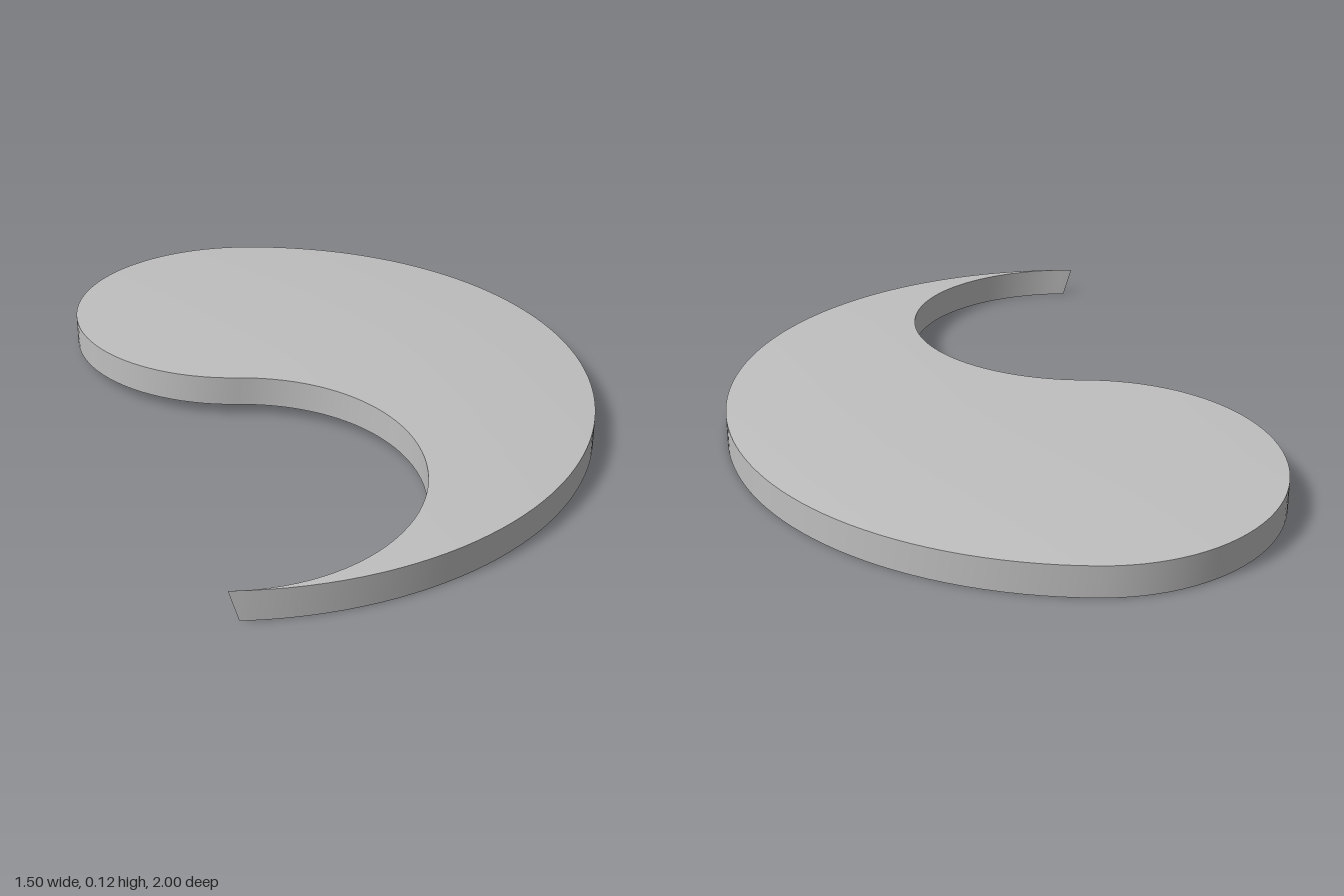
import * as THREE from 'three';
import { toCreasedNormals } from 'three/addons/utils/BufferGeometryUtils.js';

const CX = -0.25;        // centre of the large outer circle (radius 1)
const THICKNESS = 0.085;
const RISE = 0.031;      // height of the shallow dome
const HALF = 48;         // rows along each small half circle
const ROWS = HALF * 2;
const COLS = 24;

// Underside height: a shallow dome falling to 0 at the outer rim
const dome = (x, z) => RISE * (1 - Math.min(1, Math.hypot(x - CX, z)) ** 2.5);

function commaPlateGeometry() {
  const positions = [];
  const index = [];
  const count = (ROWS + 1) * (COLS + 1);

  // Rows run from the round head (z = -1) to the pointed tail (z = 1)
  for (const lift of [THICKNESS, 0]) {
    for (let i = 0; i <= ROWS; i++) {
      const head = i <= HALF;
      const a = Math.PI * (head ? i / HALF : (i - HALF) / HALF);
      const z = (head ? -0.5 : 0.5) - 0.5 * Math.cos(a);
      const inner = CX + (head ? -0.5 : 0.5) * Math.sin(a);
      const outer = CX + Math.sqrt(Math.max(0, 1 - z * z));
      for (let j = 0; j <= COLS; j++) {
        const x = inner + (outer - inner) * (j / COLS);
        // The tail end is cut at a slight slant
        const slant = i === ROWS && lift === 0 ? 0.025 : 0;
        positions.push(x + slant, dome(x, z) + lift, z);
      }
    }
  }

  const top = (i, j) => i * (COLS + 1) + j;
  const bottom = (i, j) => count + top(i, j);
  const quad = (a, b, c, d) => index.push(a, b, c, a, c, d);
  for (let i = 0; i < ROWS; i++) {
    for (let j = 0; j < COLS; j++) {
      quad(top(i, j), top(i + 1, j), top(i + 1, j + 1), top(i, j + 1));
      quad(bottom(i, j), bottom(i, j + 1), bottom(i + 1, j + 1), bottom(i + 1, j));
    }
    // Inner S-shaped wall and outer rim wall
    quad(bottom(i, 0), bottom(i + 1, 0), top(i + 1, 0), top(i, 0));
    quad(bottom(i + 1, COLS), bottom(i, COLS), top(i, COLS), top(i + 1, COLS));
  }

  const geometry = new THREE.BufferGeometry();
  geometry.setAttribute('position', new THREE.Float32BufferAttribute(positions, 3));
  geometry.setIndex(index);
  return toCreasedNormals(geometry, 0.6);
}

export function createModel() {
  const group = new THREE.Group();
  group.name = 'commaPlate';
  const grey = new THREE.MeshStandardMaterial({ color: 0xbfbfbf });
  grey.name = 'light grey';
  const plate = new THREE.Mesh(commaPlateGeometry(), grey);
  plate.name = 'domedPlate';
  group.add(plate);
  return group;
}
